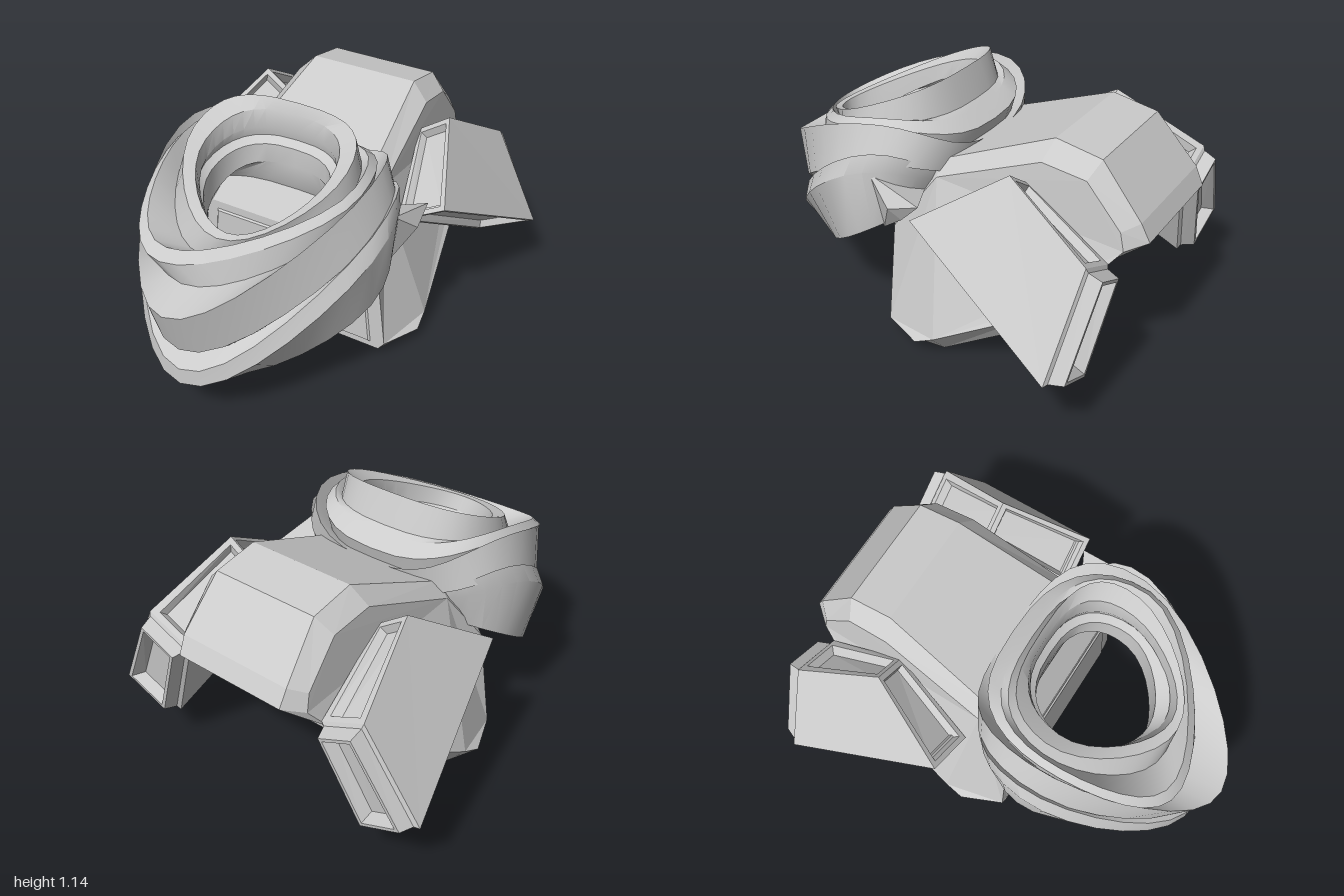
import * as THREE from 'three';
import { toCreasedNormals } from 'three/addons/utils/BufferGeometryUtils.js';
import { ConvexGeometry } from 'three/addons/geometries/ConvexGeometry.js';

const V = (x, y, z) => new THREE.Vector3(x, y, z);
const material = new THREE.MeshStandardMaterial({ color: 0xcccccc, side: THREE.DoubleSide });

// Triangle list -> flat geometry, optionally mirrored across x
function toGeometry(tris, mirror = false) {
  const pos = [];
  for (const [a, b, c] of tris)
    for (const p of mirror ? [a, c, b] : [a, b, c]) pos.push(mirror ? -p.x : p.x, p.y, p.z);
  const g = new THREE.BufferGeometry();
  g.setAttribute('position', new THREE.Float32BufferAttribute(pos, 3));
  g.computeVertexNormals();
  return g;
}

function addMesh(parent, name, geometry) {
  const mesh = new THREE.Mesh(geometry, material);
  mesh.name = name;
  parent.add(mesh);
}

const quad = (a, b, c, d) => [[a, b, c], [a, c, d]];

// Skin between successive closed loops
function loft(loops) {
  const tris = [];
  for (let i = 0; i < loops.length - 1; i++) {
    const p = loops[i], q = loops[i + 1], n = p.length;
    for (let j = 0; j < n; j++) {
      const k = (j + 1) % n;
      tris.push([p[j], q[j], p[k]], [p[k], q[j], q[k]]);
    }
  }
  return tris;
}

// Four-sided panel with stepped frame; steps are [inset, offset along normal]
function panel(q, steps) {
  const w = q[0].distanceTo(q[1]), h = q[0].distanceTo(q[3]);
  const normal = q[1].clone().sub(q[0]).cross(q[3].clone().sub(q[0])).normalize();
  const at = (u, v, off) => q[0].clone().lerp(q[1], u)
    .lerp(q[3].clone().lerp(q[2], u), v).addScaledVector(normal, off);
  const rings = steps.map(([inset, off]) => {
    const u = inset / w, v = inset / h;
    return [at(u, v, off), at(1 - u, v, off), at(1 - u, 1 - v, off), at(u, 1 - v, off)];
  });
  const tris = [];
  for (let i = 0; i < rings.length - 1; i++)
    for (let j = 0; j < 4; j++) {
      const k = (j + 1) % 4;
      tris.push(...quad(rings[i][j], rings[i][k], rings[i + 1][k], rings[i + 1][j]));
    }
  tris.push(...quad(...rings[rings.length - 1]));
  return tris;
}

// Main pack: chamfered side profile, wide at the foot, hollow under the lid
function packGeometry() {
  const side = [ // z, y, half width
    [0.12, 0.07, 0.51], [0.12, 0.53, 0.45], [-0.06, 0.79, 0.38], [-0.54, 0.98, 0.345],
    [-0.74, 0.95, 0.34], [-0.9, 0.77, 0.345], [-0.92, 0.69, 0.35], [-0.84, 0.59, 0.39],
    [-0.7, 0.44, 0.45], [-0.58, 0.33, 0.5], [-0.16, 0.1, 0.58], [-0.07, 0.06, 0.59],
  ];
  const rim = [
    [0.12, 0.03, 0.48], [0.13, 0.56, 0.42], [-0.05, 0.85, 0.32], [-0.56, 1.06, 0.265],
    [-0.77, 1.02, 0.265], [-0.96, 0.8, 0.285], [-1, 0.72, 0.28], [-0.86, 0.62, 0.33],
    [-0.74, 0.42, 0.36], [-0.62, 0.27, 0.44], [-0.16, 0, 0.49], [-0.07, 0.03, 0.53],
  ];
  const hollow = rim.map(([z, y, x]) => [z, y, x - 0.02]);
  hollow[7] = [-0.755, 0.69, 0.3];
  hollow[8] = [-0.59, 0.52, 0.3];
  hollow[9] = [-0.54, 0.22, 0.3];
  const ring = (rows, s) => rows.map(([z, y, x]) => V(s * x, y, z));
  const tris = loft([ring(side, -1), ring(rim, -1), ring(hollow, -1),
    ring(hollow, 1), ring(rim, 1), ring(side, 1)]);
  const faces = THREE.ShapeUtils.triangulateShape(side.map(([z, y]) => new THREE.Vector2(z, y)), []);
  for (const s of [-1, 1]) {
    const o = ring(side, s);
    for (const [i, j, k] of faces) {
      const n = o[j].clone().sub(o[i]).cross(o[k].clone().sub(o[i]));
      tris.push(n.x * s > 0 ? [o[i], o[j], o[k]] : [o[i], o[k], o[j]]);
    }
  }
  return toGeometry(tris);
}

// Side pouch: slanted box with framed recesses on its narrow faces
function pouchTriangles() {
  const out = [V(0.655, 0.73, -0.11), V(0.49, 0.97, -0.48), V(0.6, 0.74, -0.88), V(0.84, 0.32, -0.84)];
  const inn = [V(0.44, 0.61, -0.1), V(0.345, 0.87, -0.48), V(0.375, 0.63, -0.87), V(0.56, 0.18, -0.82)];
  const recess = [[0, 0], [0.025, 0], [0.04, -0.035]];
  const raised = [[0, 0], [0.015, 0.01], [0.03, 0.07], [0.045, 0.07], [0.07, 0.02]];
  const tris = [...quad(out[3], out[2], out[1], out[0]), ...quad(...inn)];
  for (let i = 0; i < 4; i++) {
    const k = (i + 1) % 4;
    tris.push(...panel([out[i], out[k], inn[k], inn[i]], i === 2 ? raised : recess));
  }
  return tris;
}

// Scarf: nested sagging rings through a back, side and front point
function scarfGeometry() {
  const rows = [ // back z,y | side x,z,y | front z,y | sideways shift of the front
    [0.07, 0.84, 0.28, 0.31, 0.72, 0.57, 0.5, 0],
    [0.07, 0.93, 0.28, 0.31, 0.86, 0.58, 0.74, 0],
    [0.04, 0.96, 0.31, 0.31, 0.89, 0.63, 0.78, 0.04],
    [0.05, 1.0, 0.3, 0.31, 0.92, 0.62, 0.75, 0.06],
    [0.05, 1.09, 0.31, 0.3, 1.0, 0.66, 0.85, 0.04],
    [0.03, 1.14, 0.38, 0.28, 1.04, 0.7, 0.84, 0.02],
    [-0.02, 1.0, 0.4, 0.28, 0.94, 0.7, 0.73, -0.06],
    [-0.05, 0.98, 0.43, 0.3, 1.0, 0.8, 0.79, -0.16],
    [-0.12, 0.93, 0.46, 0.3, 0.97, 0.84, 0.74, -0.17],
    [-0.1, 0.86, 0.45, 0.3, 0.88, 0.82, 0.65, -0.08],
    [-0.14, 0.88, 0.48, 0.26, 1.0, 0.995, 0.61, -0.05],
    [-0.11, 0.76, 0.54, 0.25, 0.83, 0.92, 0.39, -0.04],
    [-0.05, 0.74, 0.52, 0.25, 0.82, 0.87, 0.36, -0.04],
    [-0.07, 0.75, 0.555, 0.25, 0.88, 0.93, 0.29, -0.04],
    [-0.07, 0.71, 0.58, 0.28, 0.79, 0.93, 0.21, -0.04],
    [0.0, 0.63, 0.55, 0.24, 0.5, 0.74, 0.14, -0.04],
    [0.06, 0.74, 0.48, 0.26, 0.58, 0.7, 0.3, -0.02],
  ];
  const segments = 32;
  const loops = rows.map(([zb, yb, xs, zs, ys, zf, yf, shift]) => {
    const loop = [];
    for (let j = 0; j < segments; j++) {
      const t = j / segments * Math.PI * 2, c = Math.cos(t), s = Math.sin(t);
      const mix = (b, m, f) => m + c * (f - b) / 2 + c * c * ((f + b) / 2 - m);
      const front = Math.max(0, c) ** 2;
      // squarer behind the neck, more pointed at the chest
      const wide = c < 0 ? Math.sign(s) * Math.abs(s) ** 0.75 : s * (1 - 0.15 * front);
      loop.push(V(xs * wide + shift * front, mix(yb, ys, yf), mix(zb, zs, zf)));
    }
    return loop;
  });
  loops.push(loops[0]);
  return toCreasedNormals(toGeometry(loft(loops)), 0.5);
}

export function createModel() {
  const model = new THREE.Group();
  model.name = 'scarfAndBackpack';

  addMesh(model, 'pack', packGeometry());
  addMesh(model, 'frontPlate', toGeometry(panel(
    [V(-0.44, 0.06, 0.122), V(0.44, 0.06, 0.122), V(0.39, 0.52, 0.13), V(-0.39, 0.52, 0.13)],
    [[0, 0], [0.008, 0.008]])));

  const pouch = pouchTriangles();
  addMesh(model, 'leftPouch', toGeometry(pouch));
  addMesh(model, 'rightPouch', toGeometry(pouch, true));

  addMesh(model, 'scarf', scarfGeometry());

  // Folded end of the scarf tucked over one shoulder
  addMesh(model, 'scarfTail', new ConvexGeometry([
    V(0.55, 0.82, 0.17), V(0.58, 0.75, -0.1), V(0.6, 0.71, 0.04),
    V(0.56, 0.65, 0), V(0.51, 0.55, 0.13), V(0.38, 0.72, 0)]));

  return model;
}
